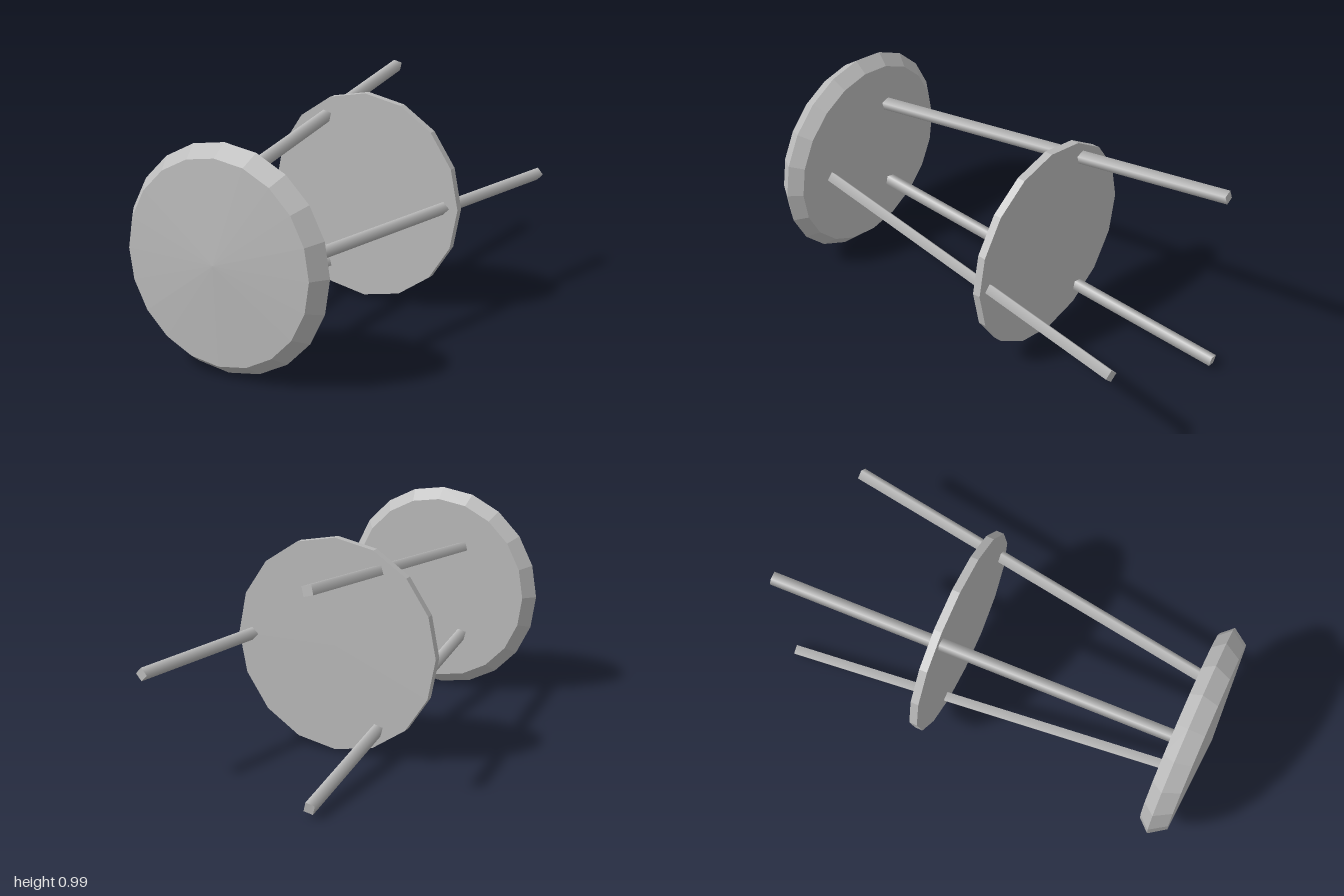
import * as THREE from 'three';

const CX = -0.03, CY = 0.5; // axis of the stool, which lies on its side along z

// Give a geometry flat facets while sharing the single material
function faceted(geometry) {
  const g = geometry.toNonIndexed();
  g.computeVertexNormals();
  return g;
}

export function createModel() {
  const model = new THREE.Group();
  const grey = new THREE.MeshStandardMaterial({ color: 0xbcbcbc });
  grey.name = 'lightGrey';

  const stool = new THREE.Group();
  stool.name = 'stool';
  stool.position.set(CX, CY, 0);
  model.add(stool);

  // Seat: 20-sided bevelled disc with a shallow conical front
  const profile = [[0, 0.842], [0.447, 0.842], [0.497, 0.897], [0.445, 0.972], [0, 0.998]]
    .map(([r, z]) => new THREE.Vector2(r, z));
  const seat = new THREE.Mesh(
    faceted(new THREE.LatheGeometry(profile, 20).rotateX(Math.PI / 2)), grey);
  seat.name = 'seat';
  stool.add(seat);

  // Brace: thin 16-sided disc that the legs pass through
  const brace = new THREE.Mesh(
    faceted(new THREE.CylinderGeometry(0.485, 0.485, 0.037, 16).rotateX(Math.PI / 2)), grey);
  brace.name = 'braceDisc';
  brace.position.z = -0.242;
  stool.add(brace);

  // Three splayed four-sided legs, one edge pointing outward
  const inner = { r: 0.255, z: 0.85 }, outer = { r: 0.525, z: -0.995 };
  const dr = inner.r - outer.r, dz = inner.z - outer.z;
  const legGeometry = new THREE.CylinderGeometry(0.03, 0.03, Math.hypot(dr, dz), 4)
    .rotateX(Math.PI / 2);
  for (let i = 0; i < 3; i++) {
    const pivot = new THREE.Group();
    pivot.name = `legPivot${i + 1}`;
    pivot.rotation.z = (i * Math.PI * 2) / 3;
    const leg = new THREE.Mesh(legGeometry, grey);
    leg.name = `leg${i + 1}`;
    leg.position.set((inner.r + outer.r) / 2, 0, (inner.z + outer.z) / 2);
    leg.rotation.y = Math.atan2(dr, dz);
    pivot.add(leg);
    stool.add(pivot);
  }
  return model;
}
